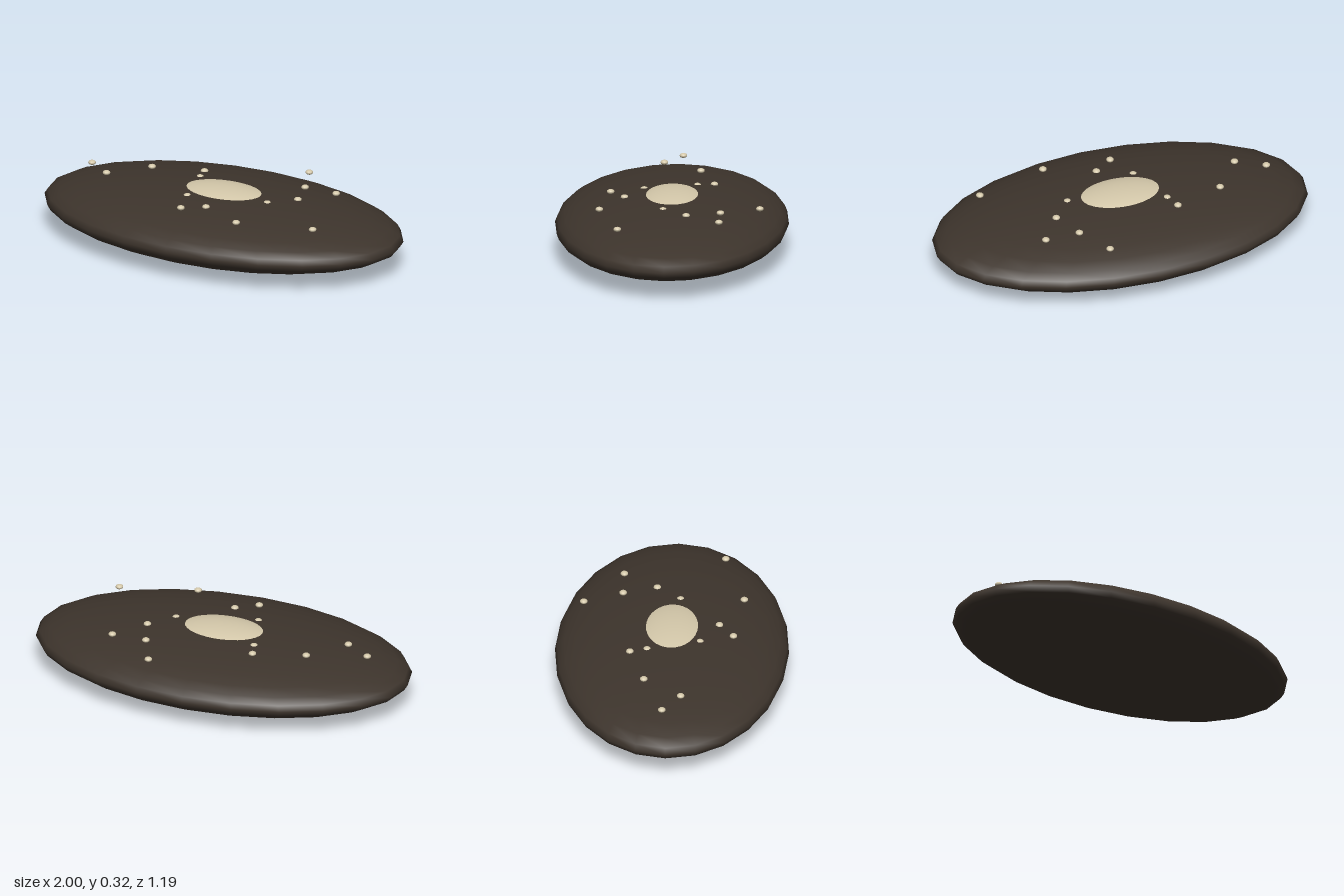
import * as THREE from 'three';

export function createModel() {
  const model = new THREE.Group();
  const shell = new THREE.MeshStandardMaterial({ name: 'dark brown', color: 0x3d342c });
  const cream = new THREE.MeshStandardMaterial({ name: 'cream', color: 0xd4c8aa });

  // Smooth ellipsoid with baked radii
  function ellipsoid(name, material, radii, position, widthSegments, heightSegments) {
    const geometry = new THREE.SphereGeometry(1, widthSegments, heightSegments);
    geometry.scale(...radii);
    const mesh = new THREE.Mesh(geometry, material);
    mesh.name = name;
    mesh.position.set(...position);
    model.add(mesh);
  }

  // Flattened oval body and the pale dome breaking through its top
  ellipsoid('body', shell, [1, 0.153, 0.595], [0, 0.153, 0], 24, 16);
  ellipsoid('centreDome', cream, [0.285, 0.062, 0.18], [0, 0.26, 0], 32, 20);

  // Small pale beads scattered over the top, all at one height: [x, z]
  const beads = [
    [0.235, -0.457], [0.325, -0.26], [0.508, -0.26], [-0.235, -0.206], [-0.497, -0.126],
    [-0.21, -0.12], [-0.79, -0.024], [-0.652, 0.067], [0.383, -0.088], [0.274, 0.034],
    [-0.13, 0.147], [0.034, 0.24], [-0.07, 0.315], [0.28, 0.358], [0.667, 0.25],
  ];
  beads.forEach(([x, z], i) =>
    ellipsoid(`bead${i + 1}`, cream, [0.02, 0.0125, 0.02], [x, 0.294, z], 10, 8));

  return model;
}
